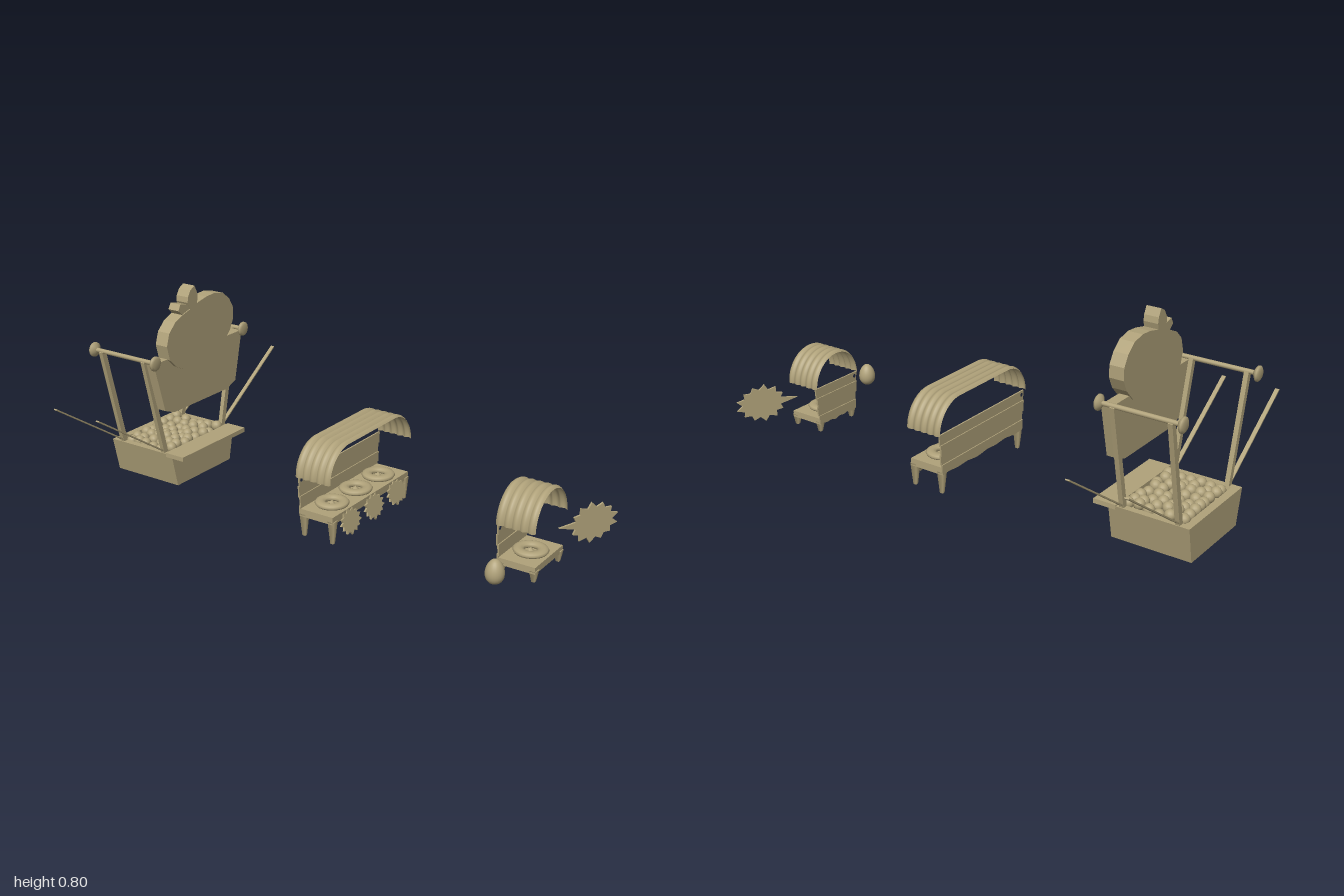
import * as THREE from 'three';
import { ParametricGeometry } from 'three/addons/geometries/ParametricGeometry.js';

const COLOR = 0xb0a27a;
const solid = new THREE.MeshStandardMaterial({ color: COLOR });
const sheet = new THREE.MeshStandardMaterial({ color: COLOR, side: THREE.DoubleSide });

function add(parent, name, geometry, x = 0, y = 0, z = 0, material = solid) {
  const mesh = new THREE.Mesh(geometry, material);
  mesh.name = name;
  mesh.position.set(x, y, z);
  parent.add(mesh);
  return mesh;
}

function group(parent, name, x = 0, y = 0, z = 0) {
  const g = new THREE.Group();
  g.name = name;
  g.position.set(x, y, z);
  parent.add(g);
  return g;
}

// Flat part drawn in the z-y plane, with its thickness running from x = 0 to +x
function plate(points, thickness, hole) {
  const shape = new THREE.Shape(points.map(([z, y]) => new THREE.Vector2(z, y)));
  if (hole) shape.holes.push(new THREE.Path().absarc(hole[0], hole[1], hole[2], 0, Math.PI * 2, true));
  const g = new THREE.ExtrudeGeometry(shape, { depth: thickness, bevelEnabled: false, curveSegments: 8 });
  return g.rotateY(-Math.PI / 2).translate(thickness, 0, 0);
}

// Straight bar between two points of the z-y plane
function bar(parent, name, x, [z0, y0], [z1, y1], width, thick) {
  const length = Math.hypot(z1 - z0, y1 - y0);
  const m = add(parent, name, new THREE.BoxGeometry(width, length, thick), x, (y0 + y1) / 2, (z0 + z1) / 2);
  m.rotation.x = Math.atan2(z1 - z0, y1 - y0);
}

// Jagged splash outline; the first spike may be stretched into a long point
function splash(rz, ry, tip) {
  const pts = [];
  const n = 13;
  for (let i = 0; i < n * 2; i++) {
    const a = (i / n) * Math.PI;
    const k = i % 2 ? 0.74 : 0.96 + 0.05 * Math.sin(i * 2.3);
    pts.push([Math.cos(a) * rz * k, Math.sin(a) * ry * k]);
  }
  if (tip) pts[0] = [tip, 0.005];
  return plate(pts, 0.008);
}

// Ribbed arched roof open at both ends
function roof(radius, straight, depth) {
  return new ParametricGeometry((u, v, target) => {
    const a = u * Math.PI;
    const r = radius - 0.008 + 0.008 * Math.abs(Math.sin(v * Math.PI * 5));
    target.set(v * depth, Math.sin(a) * r, Math.cos(a) * r + Math.sign(Math.cos(a)) * straight);
  }, 33, 40);
}

// Stall with legs, seat, overlapping back boards, arched roof and dishes
function stall(parent, name, x, o) {
  const s = group(parent, name, x);
  const depth = 0.15;
  add(s, 'seat', new THREE.BoxGeometry(depth - 0.005, o.seatTop - o.seatLow, o.seatHalf * 2),
    depth / 2, (o.seatTop + o.seatLow) / 2, 0);
  for (const lx of [0.012, depth - 0.012]) for (const side of [-1, 1]) {
    const leg = new THREE.CylinderGeometry(0.019, 0.009, o.seatLow + 0.01, 4).rotateY(Math.PI / 4);
    add(s, 'leg', leg, lx, (o.seatLow + 0.01) / 2, side * (o.seatHalf - 0.013));
  }
  const low = o.seatLow, rows = 4, h = (o.eaves - low) / rows;
  for (let r = 0; r < rows; r++) {
    const y0 = low + r * h, y1 = y0 + h;
    const half = y => o.seatHalf + (o.backHalf - o.seatHalf) * (y - low) / (o.eaves - low);
    const pts = [[half(y1), y1], [-half(y1), y1]];
    // wavy lower edge
    for (let i = 0; i <= 24; i++) {
      const wave = 0.0025 * Math.sin(i * 1.1 + r * 2) + 0.002 * Math.sin(i * 0.47 + r);
      pts.push([half(y0) * (i / 12 - 1), y0 - (r ? 0.004 : 0) + wave]);
    }
    const hole = r === rows - 1 ? [o.backHalf - 0.014, o.eaves - 0.016, 0.008] : null;
    add(s, 'backBoard', plate(pts.reverse(), 0.006, hole), r % 2 ? 0.002 : -0.002);
  }
  add(s, 'roof', roof(o.radius, o.straight, depth + 0.003), -0.004, o.eaves, 0, sheet);
  for (const z of o.dishes) {
    const dish = group(s, 'dish', depth / 2, o.seatTop + 0.007, z);
    dish.scale.y = 0.55;
    add(dish, 'dishRim', new THREE.TorusGeometry(0.044, 0.021, 10, 28).rotateX(Math.PI / 2));
    add(dish, 'dishCentre', new THREE.ConeGeometry(0.017, 0.03, 6), 0, 0.003, 0);
  }
  return s;
}

// Low trough full of balls under a frame with a fruit signboard
function ballStall(parent) {
  const g = group(parent, 'ballStall');
  for (const side of [-1, 1]) {
    const pts = [[0.165, 0], [0.195, 0.14], [0.168, 0.14], [0.138, 0]].map(([z, y]) => [z * side, y]);
    add(g, 'endWall', plate(side > 0 ? pts : pts.reverse(), 0.315), -0.99);
  }
  const wall = [[-0.164, 0], [0.164, 0], [0.194, 0.14], [-0.194, 0.14]];
  add(g, 'backWall', plate(wall, 0.03), -0.99);
  add(g, 'frontWall', plate(wall, 0.03), -0.705);
  add(g, 'counter', new THREE.BoxGeometry(0.09, 0.018, 0.392), -0.66, 0.136, 0);
  add(g, 'ballBed', new THREE.PlaneGeometry(0.26, 0.34).rotateX(-Math.PI / 2), -0.833, 0.122, 0);

  // balls in a loose, jittered pile
  let seed = 7;
  const rnd = () => (seed = (seed * 16807) % 2147483647) / 2147483647 - 0.5;
  const ball = new THREE.SphereGeometry(0.022, 14, 10);
  for (let i = 0; i < 6; i++) for (let j = 0; j < 8; j++) {
    add(g, 'ball', ball, -0.935 + i * 0.041 + rnd() * 0.016, 0.137 + rnd() * 0.016,
      -0.143 + j * 0.041 + rnd() * 0.016);
  }

  // posts, slanting stays and rails with flared end caps
  const cap = new THREE.LatheGeometry([[0, 0.01], [0.02, 0.01], [0.029, 0.004], [0.029, -0.003], [0.012, -0.014], [0, -0.014]]
    .reverse().map(p => new THREE.Vector2(...p)), 16).rotateZ(-Math.PI / 2);
  for (const side of [-1, 1]) {
    for (const x of [-0.942, -0.725]) {
      bar(g, 'post', x, [0.175 * side, 0.12], [0.272 * side, 0.545], 0.018, 0.022);
      bar(g, 'stay', x, [0.18 * side, 0.142], [0.542 * side, 0.386], 0.016, 0.005);
    }
    add(g, 'rail', new THREE.CylinderGeometry(0.009, 0.009, 0.32, 12).rotateZ(Math.PI / 2), -0.825, 0.546, 0.27 * side);
    add(g, 'railCap', cap, -0.67, 0.546, 0.27 * side);
    add(g, 'railCap', cap, -0.983, 0.546, 0.27 * side).rotation.y = Math.PI;
  }

  // signboard with a cut-out fruit, stem and leaf
  const board = [[-0.27, 0.54], [-0.22, 0.335], [-0.165, 0.314], [0.165, 0.314], [0.217, 0.335], [0.27, 0.54]];
  add(g, 'signboard', plate(board, 0.04), -0.717);
  const fruit = [[0.204, 0.596], [0.187, 0.646], [0.149, 0.681], [0.099, 0.701], [0.067, 0.71], [0.017, 0.727],
    [-0.04, 0.739], [-0.09, 0.742], [-0.143, 0.73], [-0.181, 0.698], [-0.204, 0.657], [-0.204, 0.611],
    [-0.181, 0.567], [-0.137, 0.523], [-0.076, 0.494], [-0.012, 0.477], [0.052, 0.471], [0.111, 0.48],
    [0.155, 0.503], [0.19, 0.538]];
  add(g, 'fruit', plate(fruit, 0.057), -0.722);
  const leaf = [[0.055, 0.705], [0.073, 0.74], [0.07, 0.762], [0.055, 0.786], [0.029, 0.8], [0.015, 0.771],
    [0.012, 0.748], [0.022, 0.715]];
  add(g, 'leaf', plate(leaf, 0.057), -0.722);
  add(g, 'stem', plate([[0.1, 0.695], [0.125, 0.719], [0.111, 0.742], [0.06, 0.73], [0.05, 0.7]], 0.05), -0.719);
}

export function createModel() {
  const model = new THREE.Group();
  model.name = 'stallSet';
  ballStall(model);

  // long stall with three dishes and splashes hanging off its front edge
  const long = stall(model, 'longStall', -0.003, {
    seatLow: 0.08, seatTop: 0.11, seatHalf: 0.258, backHalf: 0.27, eaves: 0.243,
    radius: 0.131, straight: 0.152, dishes: [-0.157, 0, 0.157],
  });
  for (const z of [-0.157, 0, 0.157]) {
    add(long, 'splash', splash(0.067, 0.051), 0.154, 0.062, z).rotation.z = 0.26;
  }

  // short stall with one dish
  stall(model, 'shortStall', 0.74, {
    seatLow: 0.034, seatTop: 0.06, seatHalf: 0.108, backHalf: 0.125, eaves: 0.193,
    radius: 0.13, straight: 0, dishes: [0],
  });

  // loose splash with a long point, and an egg
  add(model, 'largeSplash', splash(0.108, 0.08, 0.15), 0.942, 0.12, -0.23).rotation.y = -0.524;
  const egg = [];
  for (let i = 0; i <= 16; i++) {
    const a = (i / 16) * Math.PI;
    egg.push(new THREE.Vector2(Math.sin(a) * (0.034 + 0.005 * Math.cos(a)), -Math.cos(a) * 0.046));
  }
  add(model, 'egg', new THREE.LatheGeometry(egg, 24), 0.826, 0.107, 0.288);
  return model;
}
